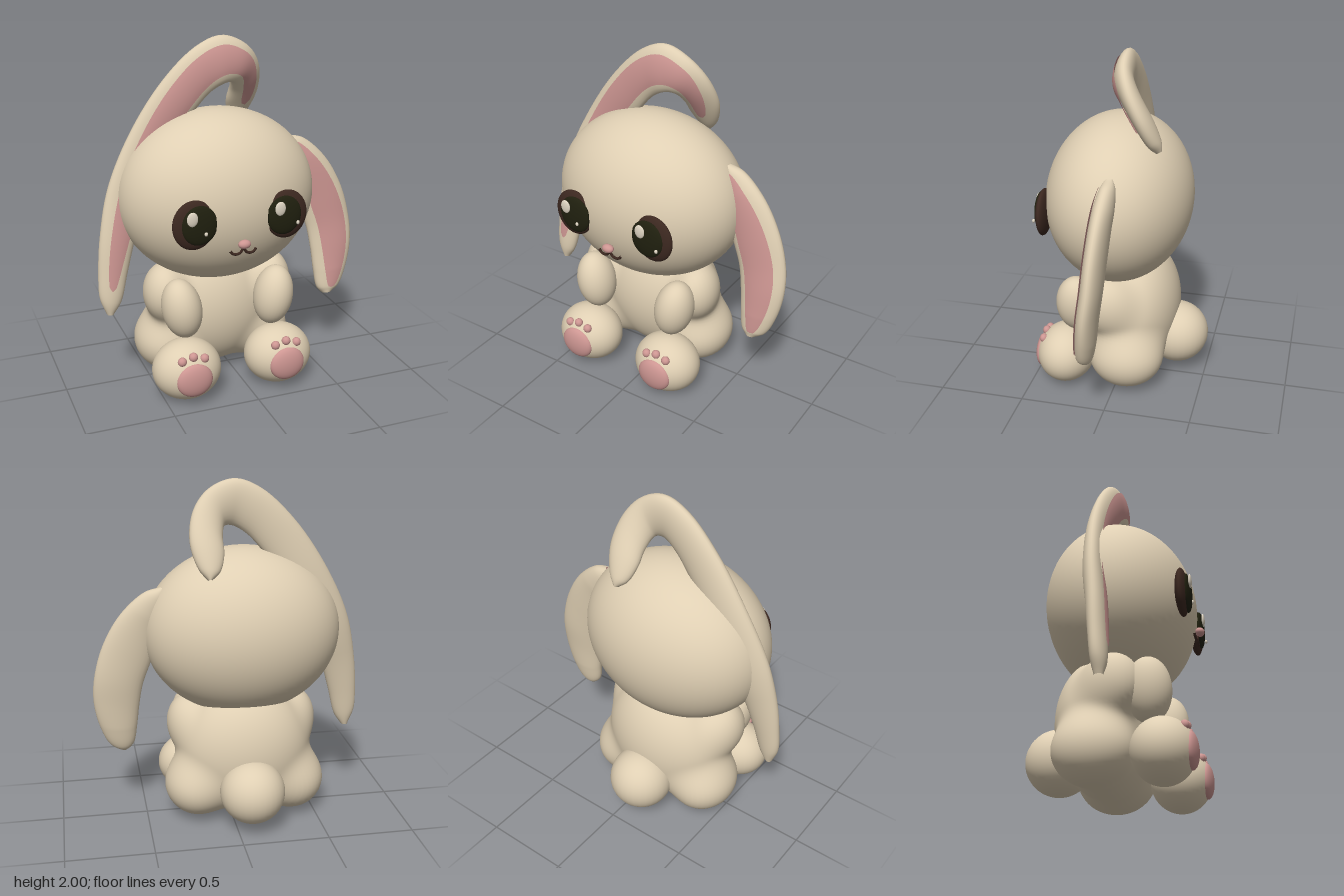
import * as THREE from 'three';
import { mergeVertices } from 'three/addons/utils/BufferGeometryUtils.js';

const mat = (name, color, side = THREE.FrontSide) => {
  const m = new THREE.MeshStandardMaterial({ color, side });
  m.name = name;
  return m;
};
const V = (a) => new THREE.Vector3(...a);
const CX = -0.085; // middle line of head and body

export function createModel() {
  const fur = mat('fur', 0xdfcfb3);
  const pink = mat('pink', 0xcd9692, THREE.DoubleSide);
  const brown = mat('dark brown', 0x3c2820);
  const black = mat('pupil black', 0x20200f);
  const shine = mat('eye shine', 0xdfd5c3);
  const model = new THREE.Group();
  model.name = 'plushRabbit';

  const add = (name, geo, material) => {
    const mesh = new THREE.Mesh(geo, material);
    mesh.name = name;
    model.add(mesh);
    return mesh;
  };
  const ball = (name, material, pos, radii, seg = 32) => {
    const mesh = add(name, new THREE.SphereGeometry(1, seg, Math.round(seg * 0.75)), material);
    mesh.scale.set(...radii);
    mesh.position.set(...pos);
    return mesh;
  };

  // Body: torso, shoulders and hips blended into one soft skin
  const lumps = [[[CX, 0.42, -0.06], [0.385, 0.39, 0.27]]];
  for (const s of [-1, 1]) {
    lumps.push([[CX + s * 0.32, 0.555, 0.055], [0.128, 0.17, 0.15]]);
    lumps.push([[CX + s * 0.28, 0.21, -0.06], [0.197, 0.19, 0.22]]);
  }
  const field = (p) => {
    let d = Infinity;
    for (const [c, r] of lumps) {
      const q = Math.hypot((p.x - c[0]) / r[0], (p.y - c[1]) / r[1], (p.z - c[2]) / r[2]);
      const e = (q - 1) * Math.min(...r);
      if (d === Infinity) { d = e; continue; }
      const k = 0.075, h = Math.max(k - Math.abs(d - e), 0) / k;
      d = Math.min(d, e) - h * h * k * 0.25;
    }
    return d;
  };
  let body = new THREE.SphereGeometry(1, 96, 72);
  body.deleteAttribute('uv');
  body.deleteAttribute('normal');
  body = mergeVertices(body);
  const centre = new THREE.Vector3(CX, 0.4, -0.04);
  const bp = body.attributes.position;
  const dir = new THREE.Vector3(), p = new THREE.Vector3();
  for (let i = 0; i < bp.count; i++) {
    dir.fromBufferAttribute(bp, i).normalize();
    let lo = 0, hi = 0.8;
    for (let n = 0; n < 22; n++) {
      const mid = (lo + hi) / 2;
      p.copy(centre).addScaledVector(dir, mid);
      if (field(p) < 0) lo = mid; else hi = mid;
    }
    p.copy(centre).addScaledVector(dir, lo);
    bp.setXYZ(i, p.x, p.y, p.z);
  }
  body.computeVertexNormals();
  add('body', body, fur);

  // Head and tail
  ball('head', fur, [CX, 1.118, 0.036], [0.575, 0.494, 0.426], 64);
  ball('tail', fur, [CX, 0.245, -0.319], [0.188, 0.186, 0.188]);

  // Eye disc with its inner side cut straight
  const eyeDisc = (name, material, s, off, y, z, r) => {
    const geo = new THREE.SphereGeometry(1, 40, 24);
    geo.scale(...r);
    geo.translate(CX + s * off, y, z);
    const a = geo.attributes.position;
    for (let i = 0; i < a.count; i++) {
      const side = (a.getX(i) - CX) * s;
      a.setX(i, CX + s * Math.max(side, 0.15));
    }
    add(name, geo, material);
  };

  for (const s of [-1, 1]) {
    const side = s < 0 ? 'right' : 'left';
    // Arms and feet
    const arm = ball(side + 'Arm', fur, [CX + s * 0.28, 0.52, 0.235], [0.114, 0.178, 0.125]);
    arm.rotation.z = -s * 0.17;
    const fx = CX + s * 0.28;
    ball(side + 'Foot', fur, [fx, 0.181, 0.307], [0.199, 0.177, 0.172], 40);
    ball(side + 'FootPad', pink, [fx, 0.175, 0.45], [0.105, 0.1, 0.04]);
    [-0.065, 0, 0.065].forEach((dx, i) =>
      ball(side + 'Toe', pink, [fx + dx, i === 1 ? 0.308 : 0.29, 0.43], [0.026, 0.026, 0.024], 16));
    // Eyes
    eyeDisc(side + 'EyeRim', brown, s, 0.265, 1.08, 0.425, [0.122, 0.138, 0.036]);
    eyeDisc(side + 'Pupil', black, s, 0.243, 1.083, 0.45, [0.1, 0.11, 0.025]);
    ball(side + 'EyeShine', shine, [s < 0 ? -0.375 : 0.125, 1.13, 0.474], [0.031, 0.04, 0.01], 20);
    ball(side + 'EyeSparkle', shine, [s < 0 ? -0.3 : 0.23, 1.04, 0.474], [0.01, 0.012, 0.008], 12);
  }

  // Nose and mouth
  ball('nose', pink, [CX, 0.957, 0.48], [0.036, 0.025, 0.026], 24);
  const smile = [[-0.075, 0.92], [-0.062, 0.904], [-0.04, 0.898], [-0.018, 0.906], [0, 0.928],
    [0.018, 0.906], [0.04, 0.898], [0.062, 0.904], [0.075, 0.92]]
    .map(([x, y]) => new THREE.Vector3(CX + x, y, 0.465 - x * x));
  add('mouth', new THREE.TubeGeometry(new THREE.CatmullRomCurve3(smile), 48, 0.0075, 8), brown);

  // Ears: sections of [outer edge, inner edge], swept with a lens-shaped cross-section
  const buildEar = (name, sections, thick, p0, p1, inset) => {
    const outer = new THREE.CatmullRomCurve3(sections.map((q) => V(q[0])));
    const inner = new THREE.CatmullRomCurve3(sections.map((q) => V(q[1])));
    const mid = (t) => outer.getPoint(t).add(inner.getPoint(t)).multiplyScalar(0.5);
    const frame = (t) => {
      const c = mid(t), w = outer.getPoint(t).sub(inner.getPoint(t)).multiplyScalar(0.5);
      const tan = mid(Math.min(t + 0.01, 1)).sub(mid(Math.max(t - 0.01, 0)));
      const n = tan.cross(w).normalize();
      return { c, w, n, h: thick * Math.min(1, Math.sqrt(w.length() / 0.11)) };
    };
    const sweep = (rows, cols, closed, point) => {
      const pos = [], idx = [];
      for (let i = 0; i <= rows; i++)
        for (let j = 0; j <= cols; j++) pos.push(...point(i / rows, j / cols).toArray());
      for (let i = 0; i < rows; i++)
        for (let j = 0; j < cols; j++) {
          const a = i * (cols + 1) + j, b = a + cols + 1;
          idx.push(a, a + 1, b, b, a + 1, b + 1);
        }
      let g = new THREE.BufferGeometry();
      g.setAttribute('position', new THREE.Float32BufferAttribute(pos, 3));
      g.setIndex(idx);
      if (closed) g = mergeVertices(g, 1e-5);
      g.computeVertexNormals();
      return g;
    };
    add(name, sweep(80, 28, true, (t, u) => {
      const { c, w, n, h } = frame(t), a = u * Math.PI * 2;
      return c.addScaledVector(w, Math.cos(a)).addScaledVector(n, Math.sin(a) * h);
    }), fur);
    add(name + 'Lining', sweep(70, 12, false, (t, u) => {
      const { c, w, n, h } = frame(p0 + (p1 - p0) * t);
      const k = (1 - u * 2) * inset * Math.pow(Math.max(0, Math.sin(Math.PI * t)), 0.3);
      return c.addScaledVector(w, k).addScaledVector(n, h * Math.sqrt(1 - k * k) + 0.008);
    }), pink);
  };

  buildEar('rightEar', [
    [[-0.755, 0.47, 0.06], [-0.715, 0.47, 0.06]],
    [[-0.79, 0.57, 0.05], [-0.67, 0.54, 0.065]],
    [[-0.79, 0.72, 0.04], [-0.625, 0.70, 0.05]],
    [[-0.77, 0.92, 0.03], [-0.57, 0.88, 0.02]],
    [[-0.705, 1.2, 0.005], [-0.49, 1.1, -0.03]],
    [[-0.56, 1.5, -0.02], [-0.36, 1.36, -0.04]],
    [[-0.37, 1.77, -0.025], [-0.2, 1.58, -0.015]],
    [[-0.18, 1.945, -0.02], [-0.1, 1.69, 0]],
    [[-0.03, 2.0, -0.02], [-0.02, 1.735, 0.01]],
    [[0.11, 1.95, -0.025], [0.03, 1.735, -0.01]],
    [[0.205, 1.84, -0.065], [0.05, 1.68, -0.08]],
    [[0.238, 1.68, -0.14], [0.05, 1.6, -0.15]],
    [[0.2, 1.54, -0.2], [0.08, 1.52, -0.205]],
    [[0.15, 1.48, -0.23], [0.13, 1.48, -0.23]],
  ], 0.055, 0.11, 0.87, 0.64);

  buildEar('leftEar', [
    [[0.39, 1.4, -0.01], [0.37, 1.395, -0.01]],
    [[0.48, 1.375, -0.01], [0.36, 1.3, -0.01]],
    [[0.62, 1.25, 0], [0.4, 1.12, 0.01]],
    [[0.725, 1.07, 0.01], [0.45, 0.96, 0.02]],
    [[0.78, 0.88, 0.02], [0.5, 0.82, 0.03]],
    [[0.79, 0.72, 0.04], [0.525, 0.68, 0.045]],
    [[0.76, 0.56, 0.055], [0.54, 0.55, 0.06]],
    [[0.705, 0.44, 0.07], [0.56, 0.44, 0.075]],
    [[0.645, 0.4, 0.085], [0.595, 0.4, 0.085]],
  ], 0.057, 0.07, 0.88, 0.64);

  return model;
}
